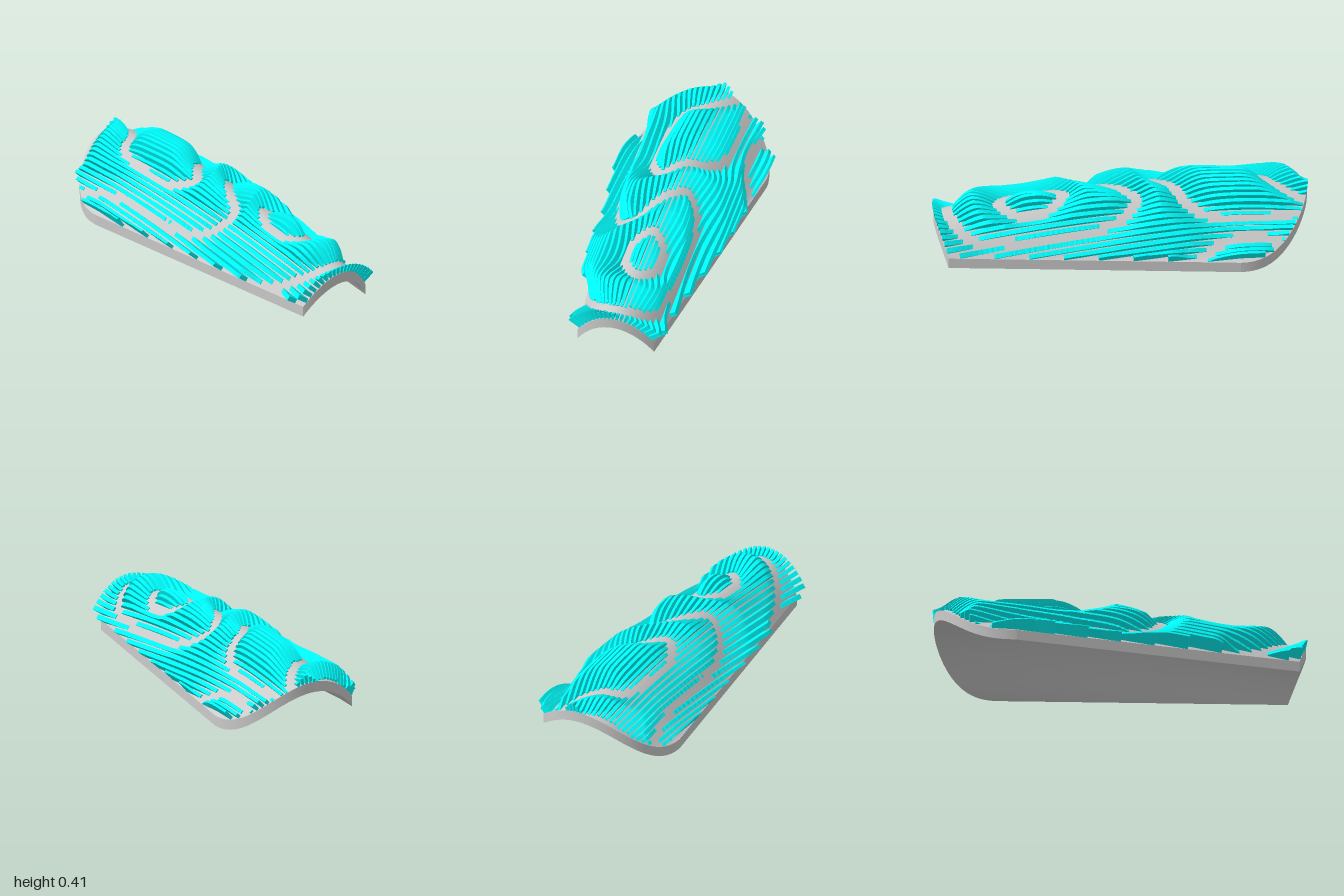
import * as THREE from 'three';
import { mergeGeometries } from 'three/addons/utils/BufferGeometryUtils.js';

const V = (x, y, z) => new THREE.Vector3(x, y, z);
const { lerp, clamp } = THREE.MathUtils;
const THICK = 0.057, PITCH = 0.021, FIN = 0.0069;

// vault shape: half width, crown height and arch profile along z
const along = z => clamp((0.93 - z) / 1.53, 0, 1);
const halfWidth = z => 0.21 + 0.177 * along(z);
const crown = z => 0.28 - (z > -0.35 ? 0.068 : 0.1) * (z + 0.35) ** 2;
const arch = (x, z) => {
  const u = Math.min(1, Math.abs(x) / halfWidth(z));
  return crown(z) * Math.pow(1 - u * u, 1 + 0.4 * along(z));
};
const frontEnd = u => 0.93 + 0.06 * (1 - u * u);
const backEnd = u => -0.6 - 0.38 * Math.sqrt(Math.max(0, 1 - u * u));

// grid surface; faces point along dP/ds x dP/dt unless flipped
function patch(fn, ns, nt, flip = false) {
  const pos = [], idx = [];
  for (let j = 0; j <= nt; j++)
    for (let i = 0; i <= ns; i++) pos.push(...fn(i / ns, j / nt).toArray());
  for (let j = 0; j < nt; j++)
    for (let i = 0; i < ns; i++) {
      const a = j * (ns + 1) + i, b = a + 1, c = a + ns + 1, d = c + 1;
      idx.push(...(flip ? [a, d, b, a, c, d] : [a, b, d, a, d, c]));
    }
  const g = new THREE.BufferGeometry();
  g.setAttribute('position', new THREE.Float32BufferAttribute(pos, 3));
  g.setIndex(idx);
  g.computeVertexNormals();
  return g;
}

// arched shell with a rounded back end
function shellGeometry() {
  const at = (s, v, k) => {
    const u = Math.sin((s - 0.5) * Math.PI);
    const z = lerp(frontEnd(u), backEnd(u), v), x = u * halfWidth(z);
    return V(x, arch(x, z) + k * THICK, z);
  };
  return mergeGeometries([
    patch((s, t) => at(s, t, 1), 72, 80),
    patch((s, t) => at(s, t, 0), 72, 80, true),
    patch((s, t) => at(s, 0, t), 72, 1),
    patch((s, t) => at(s, 1, t), 72, 1, true),
    patch((s, t) => at(1, s, t), 80, 1),
    patch((s, t) => at(0, s, t), 80, 1, true),
  ]);
}

// bare valleys winding between the fins, as x, z points
const valleys = [
  { closed: true, pts: [[0.03, 0.65], [-0.045, 0.57], [-0.045, 0.42], [0.03, 0.31], [0.1, 0.38], [0.11, 0.55]] },
  { pts: [[-0.34, -0.82], [-0.29, -0.6], [-0.27, -0.3], [-0.25, 0], [-0.18, 0.17], [-0.1, 0.21], [-0.03, 0.1],
    [0.04, -0.01], [0.11, -0.07], [0.17, 0], [0.205, 0.14], [0.215, 0.35], [0.2, 0.6], [0.18, 0.78], [0.11, 0.88],
    [0, 0.92], [-0.1, 0.88], [-0.19, 0.76], [-0.25, 0.6]] },
  { pts: [[0.13, -0.96], [0.07, -0.86], [0, -0.78], [-0.1, -0.71], [-0.14, -0.5], [-0.14, -0.28], [-0.06, -0.16],
    [0.03, -0.26], [0.14, -0.34], [0.195, -0.45], [0.21, -0.7], [0.19, -0.93]] },
  { pts: [[0.37, -0.36], [0.31, -0.48], [0.285, -0.6], [0.29, -0.75], [0.32, -0.84]] },
  { pts: [[-0.23, -0.92], [-0.13, -0.96], [-0.04, -0.99]] },
].flatMap(c => new THREE.CatmullRomCurve3(c.pts.map(p => V(p[0], 0, p[1])), !!c.closed).getPoints(140))
  .map(p => V(p.x, arch(p.x, p.z), p.z));

// fin height rises in a rounded swell with distance from the nearest valley
function finHeight(x, z) {
  const q = V(x, arch(x, z), z);
  let d2 = 1;
  for (const p of valleys) d2 = Math.min(d2, p.distanceToSquared(q));
  return 0.075 * Math.sin(clamp((Math.sqrt(d2) - 0.021) / 0.13, 0, 1) * Math.PI / 2);
}

// point raised off the shell along its normal
function raised(x, z, h) {
  const e = 0.004, sx = Math.sign(x) * Math.min(Math.abs(x), halfWidth(z) - 2 * e);
  const n = V(-(arch(sx + e, z) - arch(sx - e, z)) / (2 * e), 1, -(arch(x, z + e) - arch(x, z - e)) / (2 * e)).normalize();
  return V(x, arch(x, z) + THICK, z).addScaledVector(n, h);
}

// one closed run of a fin from its cross-sections
function finRun(sections) {
  const n = sections.length - 1;
  const cap = (c, flip) => patch((s, t) => (t ? c[s ? 1 : 0] : c[s ? 2 : 3]), 1, 1, flip);
  return [
    patch((s, t) => sections[Math.round(t * n)][Math.round(s * 4) % 4], 4, n),
    cap(sections[0], false), cap(sections[n], true),
  ];
}

// lengthwise fin at a fixed x, interrupted at the valleys
function finGeometries(x) {
  const edge = Math.abs(x) + FIN;
  const z0 = edge < 0.21 ? frontEnd(edge / 0.21) : 0.93 - (edge - 0.21) / 0.177 * 1.53;
  const z1 = backEnd(edge / 0.387);
  const steps = Math.max(8, Math.ceil((z0 - z1) / 0.014));
  const out = [];
  let run = [];
  const flush = () => {
    if (run.length > 1) out.push(...finRun(run));
    run = [];
  };
  for (let i = 0; i <= steps; i++) {
    const z = lerp(z0, z1, i / steps), h = finHeight(x, z);
    if (h < 0.0005) { flush(); continue; }
    const l = x - FIN, r = x + FIN;
    run.push([raised(l, z, h), raised(r, z, h), raised(r, z, -0.003), raised(l, z, -0.003)]);
  }
  flush();
  return out;
}

export function createModel() {
  const group = new THREE.Group();
  group.name = 'finnedVault';

  const shell = new THREE.Mesh(shellGeometry(), new THREE.MeshStandardMaterial({ color: 0xcccccc }));
  shell.name = 'shell';
  group.add(shell);

  const finMaterial = new THREE.MeshStandardMaterial({ color: 0x00ffff, flatShading: true });
  const count = Math.floor((0.387 - 2 * FIN) / PITCH);
  for (let i = -count; i <= count; i++) {
    const parts = finGeometries(i * PITCH);
    if (!parts.length) continue;
    const fin = new THREE.Mesh(mergeGeometries(parts), finMaterial);
    fin.name = 'fin';
    group.add(fin);
  }
  return group;
}
